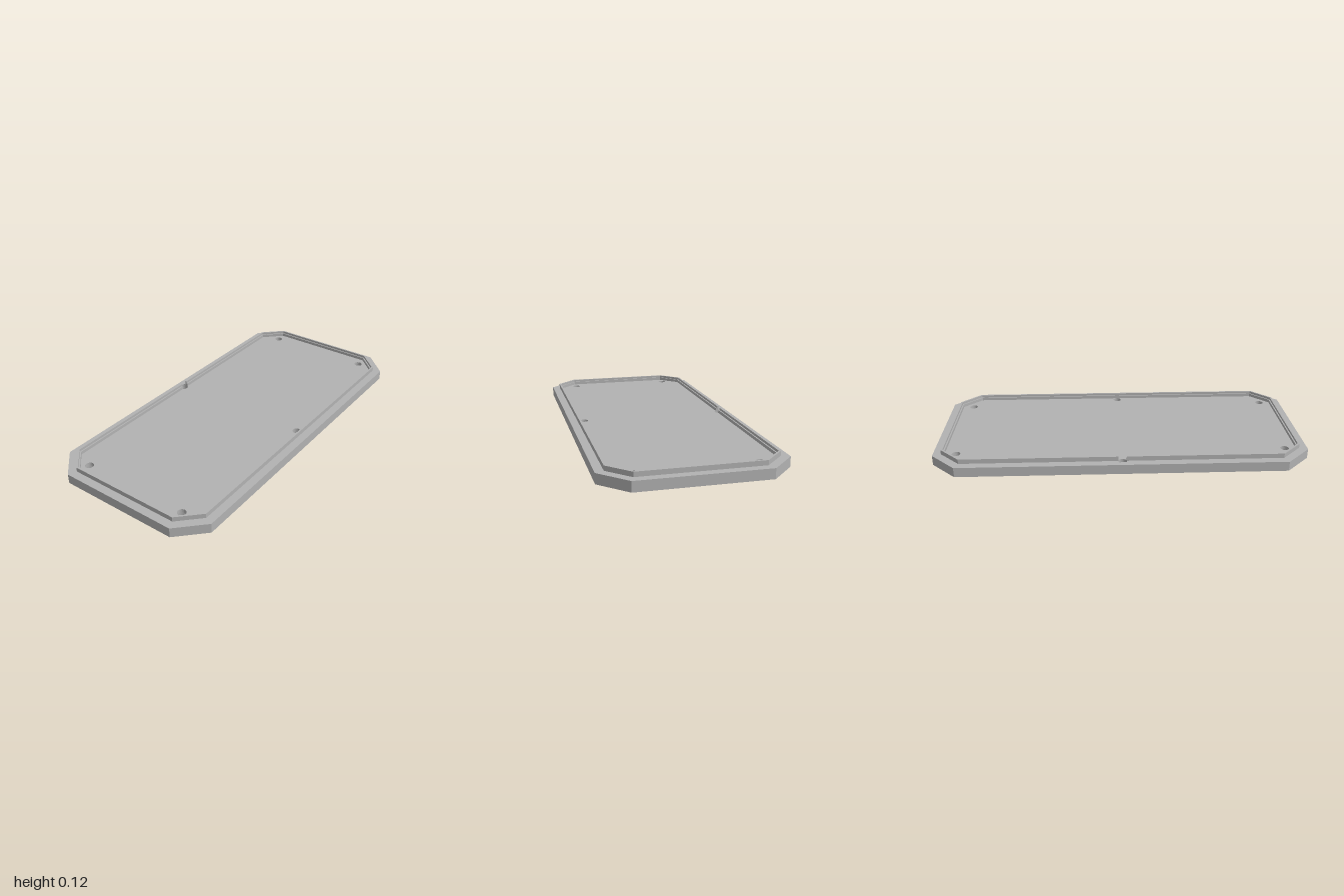
import * as THREE from 'three';

const grey = new THREE.MeshStandardMaterial({ color: 0xb2b2b2 });
grey.name = 'plain grey';

// Chamfered rectangle outline, starting and ending on the back edge (z < 0)
function outline(hx, hz, c) {
  return [
    [hx - c, -hz], [hx, c - hz], [hx, hz - c], [hx - c, hz],
    [c - hx, hz], [-hx, hz - c], [-hx, c - hz], [c - hx, -hz],
  ].map(([x, z]) => new THREE.Vector2(x, z));
}

// The plate outline moved inwards by d
const inset = (d) => outline(1 - d, 0.467 - d, 0.135 - 0.586 * d);

// Horizontal slab between two heights, drawn in x/z
function slab(name, points, y0, y1, holes = []) {
  const shape = new THREE.Shape(points);
  shape.holes = holes;
  const geo = new THREE.ExtrudeGeometry(shape, { depth: y1 - y0, bevelEnabled: false, curveSegments: 12 });
  geo.rotateX(Math.PI / 2).translate(0, y1, 0);
  const mesh = new THREE.Mesh(geo, grey);
  mesh.name = name;
  return mesh;
}

const drill = (spots, r) => spots.map(([x, z]) => new THREE.Path().absarc(x, z, r, 0, Math.PI * 2, true));

const corners = (x, z) => [[x, z], [-x, z], [x, -z], [-x, -z]];

// Wall following the plate edge, open at the rear screw hole
function openWall(name, outer, inner, y0, y1) {
  const gap = 0.022, zo = 0.467 - outer, zi = 0.467 - inner;
  const v = (x, z) => new THREE.Vector2(x, z);
  return slab(name, [
    v(gap, -zo), ...inset(outer), v(-gap, -zo),
    v(-gap, -zi), ...inset(inner).reverse(), v(gap, -zi),
  ], y0, y1);
}

export function createModel() {
  const model = new THREE.Group();
  model.name = 'coverPlate';

  // Main plate: wide screw recesses below, narrow holes above
  const screws = [...corners(0.88, 0.305), [0, 0.385], [0, -0.417]];
  const floor = 0.09;
  model.add(slab('plateUnderside', inset(0), 0.042, 0.07, drill(screws, 0.036)));
  model.add(slab('plateFloor', inset(0), 0.07, floor, drill(screws, 0.023)));

  // Ledge around the floor, notched at the rear screw hole
  const notch = [[-0.022, -0.407], [-0.022, -0.438], [0.022, -0.438], [0.022, -0.407]]
    .map(([x, z]) => new THREE.Vector2(x, z));
  const ledgeHole = new THREE.Path([...inset(0.06), ...notch]);
  model.add(slab('ledge', inset(0), floor, 0.095, [ledgeHole]));

  // Raised lip with a small inner step
  model.add(openWall('lip', 0.0435, 0.053, 0.095, 0.12));
  model.add(openWall('lipStep', 0.053, 0.06, 0.095, 0.107));

  // Mounting pad underneath, with four blind holes
  model.add(slab('mountingPad', outline(0.345, 0.293, 0.105), 0, 0.042, drill(corners(0.25, 0.205), 0.034)));

  return model;
}
